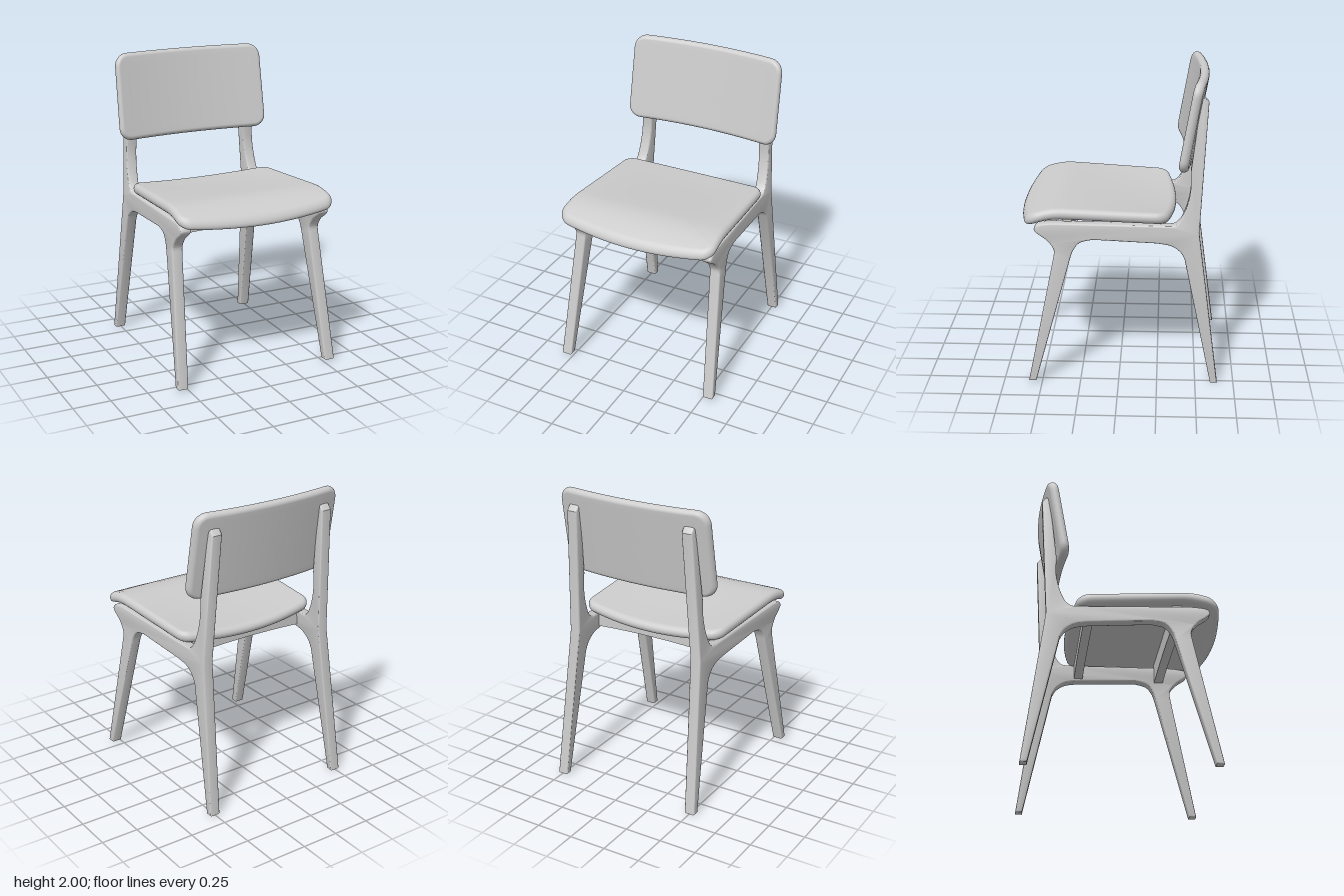
import * as THREE from 'three';
import { toCreasedNormals } from 'three/addons/utils/BufferGeometryUtils.js';

const paleGrey = new THREE.MeshStandardMaterial({ color: 0xcccccc });
paleGrey.name = 'paleGrey';

function addPart(group, name, geometry) {
  const mesh = new THREE.Mesh(geometry, paleGrey);
  mesh.name = name;
  group.add(mesh);
}

// Rounded rectangle as a counter-clockwise loop with points along the straights
function outline(a, b, r) {
  const arcs = [[1, 1], [-1, 1], [-1, -1], [1, -1]].map(([sx, sy], q) =>
    Array.from({ length: 8 }, (_, i) => {
      const t = (q + i / 7) * Math.PI / 2;
      return [sx * (a - r) + r * Math.cos(t), sy * (b - r) + r * Math.sin(t)];
    }));
  const loop = [];
  arcs.forEach((arc, q) => {
    loop.push(...arc);
    const p = arc[7], n = arcs[(q + 1) % 4][0];
    for (let i = 1; i < 16; i++) {
      const t = i / 16;
      loop.push([p[0] + (n[0] - p[0]) * t, p[1] + (n[1] - p[1]) * t]);
    }
  });
  return loop;
}

// Round-edged cushion-like board; warp(u, v, h) bends it into place
function slab(a, b, r, thick, edge, warp) {
  const rings = [];
  const steps = 8;
  const face = (s, h) => rings.push(
    outline((a - edge) * s, (b - edge) * s, (r - edge) * s).map(([u, v]) => [u, v, h]));
  for (let i = 0; i < steps; i++) face(i / steps, -thick / 2);
  for (let k = 0; k <= 10; k++) {
    const t = (k / 10 - 0.5) * Math.PI, inset = edge * (1 - Math.cos(t));
    rings.push(outline(a - inset, b - inset, r - inset)
      .map(([u, v]) => [u, v, thick / 2 * Math.sin(t)]));
  }
  for (let i = steps - 1; i >= 0; i--) face(i / steps, thick / 2);

  const n = rings[0].length, index = [];
  for (let i = 0; i < rings.length - 1; i++) {
    for (let j = 0; j < n; j++) {
      const k = (j + 1) % n;
      const p = i * n + j, q = i * n + k, s = p + n, t = q + n;
      index.push(p, q, t, p, t, s);
    }
  }
  const g = new THREE.BufferGeometry();
  g.setAttribute('position', new THREE.Float32BufferAttribute(
    rings.flat().flatMap(([u, v, h]) => warp(u, v, h)), 3));
  g.setIndex(index);
  g.computeVertexNormals();
  return g;
}

// Front leg, side rail, rear leg and back post as one profile, given as [z, y]
function sideFrame(side) {
  const v = pts => pts.map(([z, y]) => new THREE.Vector2(-z, y));
  const s = new THREE.Shape();
  s.moveTo(-0.585, 0.015);
  s.lineTo(-0.415, 0.86);
  s.splineThru(v([[0.413, 0.915], [0.455, 0.975], [0.522, 1.025], [0.535, 1.055],
    [0.505, 1.08], [0.42, 1.09]]));
  s.lineTo(0.33, 1.07);
  s.splineThru(v([[-0.365, 1.082], [-0.40, 1.125], [-0.435, 1.22], [-0.452, 1.32], [-0.45, 1.42]]));
  s.lineTo(0.505, 1.88);
  s.lineTo(0.525, 1.895);
  s.lineTo(0.555, 1.86);
  s.lineTo(0.51, 1.02);
  s.lineTo(0.645, 0);
  s.lineTo(0.6, 0);
  s.lineTo(0.42, 0.85);
  s.splineThru(v([[-0.39, 0.90], [-0.33, 0.94], [-0.24, 0.957]]));
  s.lineTo(-0.165, 0.98);
  s.splineThru(v([[0.245, 0.96], [0.288, 0.91], [0.31, 0.85]]));
  s.lineTo(-0.537, 0.015);
  const bevel = 0.01, depth = 0.073;
  let g = new THREE.ExtrudeGeometry(s, {
    depth: depth - 2 * bevel, curveSegments: 24, bevelEnabled: true,
    bevelThickness: bevel, bevelSize: bevel, bevelOffset: -bevel, bevelSegments: 3,
  });
  g.translate(0, 0, -depth / 2 + bevel);
  g.rotateY(Math.PI / 2);
  // Legs splay outward and the frame widens toward the front
  const p = g.attributes.position;
  for (let i = 0; i < p.count; i++) {
    p.setX(i, p.getX(i) + side * (0.521 - 0.046 * p.getY(i) + 0.033 * p.getZ(i)));
  }
  g = toCreasedNormals(g, 0.65);
  return g;
}

// Cross rail with an arched underside and a sagging top edge
function crossRail(half, bottom, top, sag, z) {
  const s = new THREE.Shape();
  s.moveTo(-half, bottom);
  s.quadraticCurveTo(0, bottom + 0.03, half, bottom);
  s.lineTo(half, top);
  s.quadraticCurveTo(0, top - 2 * sag, -half, top);
  const g = new THREE.ExtrudeGeometry(s, { depth: 0.06, curveSegments: 20, bevelEnabled: false });
  g.translate(0, 0, z - 0.03);
  return toCreasedNormals(g, 0.5);
}

export function createModel() {
  const chair = new THREE.Group();
  chair.name = 'chair';

  addPart(chair, 'leftSideFrame', sideFrame(1));
  addPart(chair, 'rightSideFrame', sideFrame(-1));
  addPart(chair, 'frontRail', crossRail(0.47, 0.972, 1.118, 0.002, 0.33));
  addPart(chair, 'rearRail', crossRail(0.45, 0.972, 1.09, 0.018, -0.24));

  // Seat: tapered to the rear, bowed ends, falling front edge, dished at the rear
  addPart(chair, 'seat', slab(0.535, 0.445, 0.075, 0.072, 0.035, (u, v, h) => {
    const across = 1 - (u / 0.535) ** 2;
    const z = 0.14 - v * (1 + 0.135 * across);
    const x = u * (1 - v * 0.075);
    const fall = 1.1 * Math.max(0, z - 0.35) ** 2;
    const dish = 0.03 * across * THREE.MathUtils.smoothstep(0.45 - z, 0, 0.7);
    return [x, 1.136 + 0.047 * z - fall - dish + h, z];
  }));

  // Backrest: leaning back and curved around the sitter
  addPart(chair, 'backrest', slab(0.542, 0.287, 0.085, 0.06, 0.028, (u, v, h) =>
    [u * (1 - 0.03 * v), 1.709 + v + 0.17 * h,
      -0.49 - 0.175 * v + 0.05 * (u / 0.54) ** 2 + h]));

  return chair;
}
